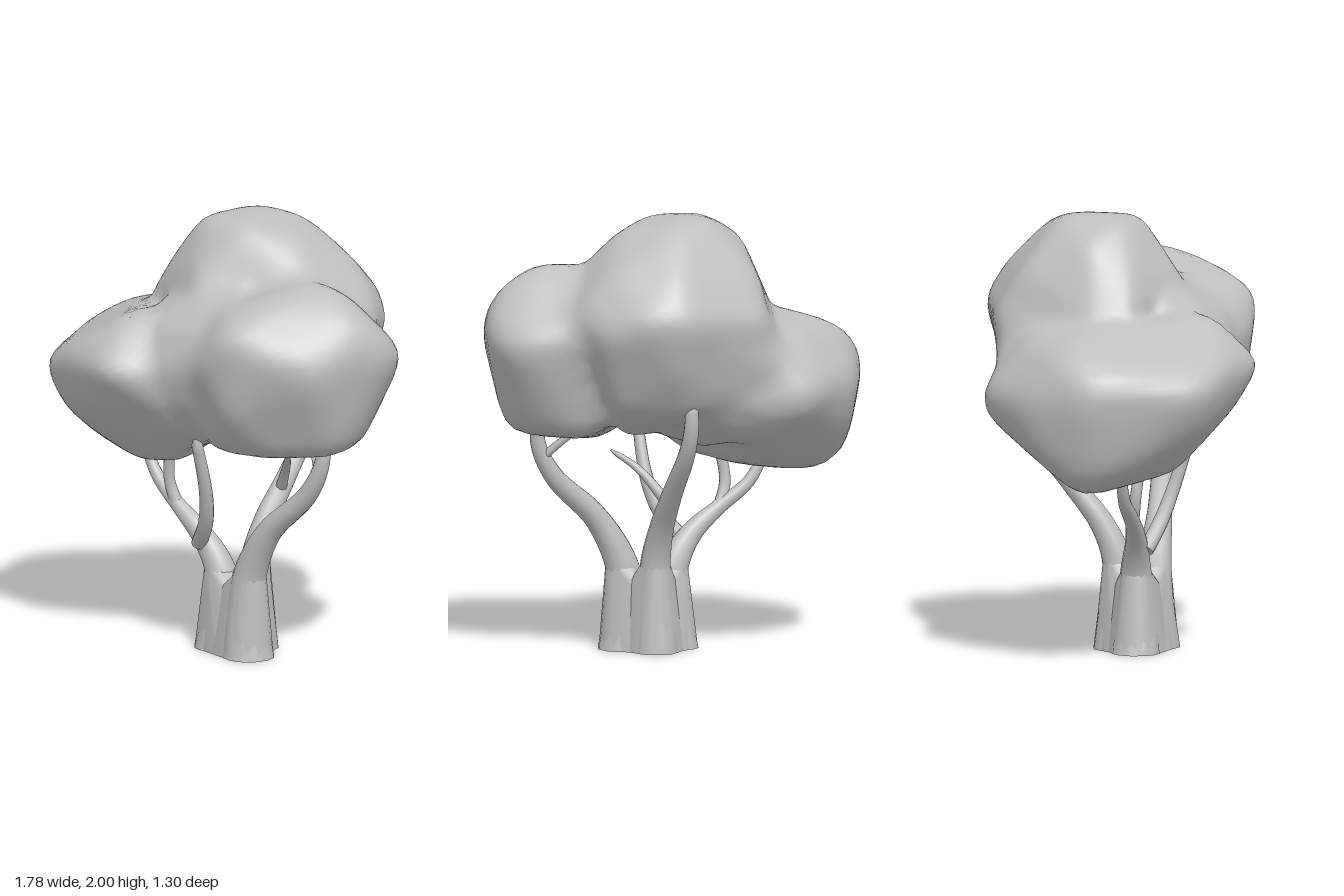
import * as THREE from 'three';
import { mergeVertices, toCreasedNormals } from 'three/addons/utils/BufferGeometryUtils.js';
import { ConvexGeometry } from 'three/addons/geometries/ConvexGeometry.js';

const clay = new THREE.MeshStandardMaterial({ color: 0xbfbfbf });
clay.name = 'clay grey';

// Shared vertices give smooth normals
function smooth(geometry) {
  geometry.deleteAttribute('uv');
  geometry.deleteAttribute('normal');
  const g = mergeVertices(geometry, 1e-4);
  g.computeVertexNormals();
  return g;
}

// Tapered limb through points [x, y, z, radius], closed at both ends
function limb(name, pts) {
  const curve = new THREE.CatmullRomCurve3(pts.map(p => new THREE.Vector3(p[0], p[1], p[2])));
  const n = (pts.length - 1) * 5, sides = 12;
  const g = new THREE.TubeGeometry(curve, n, 1, sides);
  const pos = g.attributes.position, v = new THREE.Vector3();
  for (let i = 0; i <= n; i++) {
    const u = i / n, c = curve.getPointAt(u);
    const f = curve.getUtoTmapping(u) * (pts.length - 1);
    const k = Math.min(Math.floor(f), pts.length - 2);
    const r = i === n ? 0.004 : THREE.MathUtils.lerp(pts[k][3], pts[k + 1][3], f - k);
    for (let j = 0; j <= sides; j++) {
      const id = i * (sides + 1) + j;
      v.fromBufferAttribute(pos, id).sub(c).multiplyScalar(r).add(c);
      if (i === 0 && pts[0][1] === 0) v.y = 0;
      pos.setXYZ(id, v.x, v.y, v.z);
    }
  }
  const group = new THREE.Group();
  group.name = name;
  group.add(new THREE.Mesh(smooth(g), clay));
  // Flat cut at the start of the limb
  const cap = new THREE.Mesh(new THREE.CircleGeometry(pts[0][3], sides), clay);
  const dir = pts[0][1] === 0 ? new THREE.Vector3(0, 1, 0) : curve.getTangentAt(0);
  cap.quaternion.setFromUnitVectors(new THREE.Vector3(0, 0, 1), dir.negate());
  cap.position.set(pts[0][0], pts[0][1], pts[0][2]);
  group.add(cap);
  return group;
}

// Wood that fuses the feet of two limbs, dipping to a fork halfway between them
function web(a, b, width) {
  const group = new THREE.Group();
  group.name = 'trunkWeb';
  const middle = [0, 1, 2].map(i => a[i].map((v, k) => (v + b[i][k]) / 2))
    .map(([x, y, z, r]) => [x, Math.min(y, .29), z, r * width]);
  for (const side of [a, b]) {
    const foot = side.slice(0, 3).map(([x, y, z, r]) => [x, y, z, r * .95]);
    const pts = [];
    for (const [x, y, z, r] of [...foot, ...middle]) {
      for (let k = 0; k < 16; k++) {
        const w = k * Math.PI / 8;
        pts.push(new THREE.Vector3(x + r * Math.cos(w), y, z + r * Math.sin(w)));
      }
    }
    group.add(new THREE.Mesh(toCreasedNormals(new ConvexGeometry(pts), 0.7), clay));
  }
  return group;
}

// Key points of the three foliage masses
const crownTop = [
  [0, 2, -.17], [-.15, 1.98, .04], [.1, 1.98, .06], [.1, 1.97, -.32], [-.1, 1.99, -.27], [-.29, 1.9, -.1],
  [.29, 1.93, -.1], [0, 1.74, .25], [-.29, 1.77, .1], [.1, 1.91, -.41], [.15, 1.75, -.57], [-.46, 1.55, -.05],
  [-.41, 1.58, .12], [-.28, 1.55, -.54], [.14, 1.58, -.67], [.32, 1.58, -.63], [.48, 1.5, -.51], [.57, 1.6, -.34],
  [.5, 1.7, 0], [.05, 1.55, .28], [-.27, 1.75, -.42], [.4, 1.78, -.38], [.15, 1.32, -.59], [.1, 1.14, -.49],
  [.4, 1.15, -.37], [-.2, 1.2, -.47], [0, 1.03, -.2], [.3, 1, -.2]];
const crownLeft = [
  [.65, 1.79, 0], [.5, 1.75, .25], [.4, 1.76, 0], [.82, 1.67, .05], [.91, 1.5, -.12], [.82, 1.45, -.27],
  [.55, 1.5, -.36], [.83, 1.5, .2], [.79, 1.4, .29], [.66, 1.5, .42], [.42, 1.6, .53], [.28, 1.45, .52],
  [.45, 1.67, .43], [.42, 1.2, .48], [.75, 1.01, .1], [.71, 1.04, -.1], [.5, 1, .3], [.2, 1, .35], [.3, .98, 0],
  [.5, 1.02, -.25], [.08, 1.3, .41], [.2, 1.65, .3], [-.1, 1.35, -.05]];
const crownRight = [
  [-.71, .79, -.05], [-.8, .87, .03], [-.78, .9, -.14], [-.86, 1.1, .05], [-.91, 1.26, 0], [-.89, 1.36, .08],
  [-.81, 1.45, -.1], [-.6, 1.52, -.1], [-.45, 1.55, .05], [-.2, 1.59, .44], [-.2, 1.37, .67], [-.08, 1.35, .62],
  [-.37, 1.3, .57], [-.52, 1.4, .56], [-.71, 1.3, .51], [-.25, 1.18, .57], [-.25, 1, .41], [-.3, .86, .28],
  [-.1, .88, .2], [-.5, .87, .2], [-.25, .85, 0], [-.3, .86, -.2], [-.3, .95, -.36], [-.75, 1, -.27],
  [-.72, .95, .22], [-.78, 1.25, -.32], [-.55, 1.25, -.54], [-.42, 1.22, -.58], [-.45, 1.13, -.55],
  [-.2, 1.15, -.5], [-.45, 1.5, -.36], [-.6, 1.1, .48], [0, 1, .3], [0, 1.2, .48], [.1, 1.3, -.05]];
// Foliage filling the valleys at the front and the back
const frontFill = [
  [-.15, 1.3, .54], [-.13, 1.54, .4], [-.25, 1.62, .22], [0, 1.7, .24], [.25, 1.73, .17], [.32, 1.56, .43],
  [.3, 1.4, .44], [.28, 1.15, .37], [.2, 1.02, .28], [.05, .98, .2], [-.1, .94, .22], [-.1, 1.08, .4],
  [.04, 1.35, .43], [.1, 1.3, -.1], [-.1, 1.3, -.1]];
const backFill = [
  [-.42, 1.3, -.52], [-.4, 1.47, -.38], [-.28, 1.57, -.47], [-.05, 1.45, -.55], [.05, 1.2, -.48],
  [-.1, 1.07, -.42], [-.3, 1, -.4], [-.1, .93, -.2], [.12, 1, -.2], [-.5, 1.45, -.2], [-.4, 1.56, -.05],
  [.1, 1.3, .1], [-.1, 1.3, .1]];

const heart = new THREE.Vector3(0, 1.35, 0);

// Face planes of a foliage mass, relative to the heart of the crown
function planes(points) {
  const g = new ConvexGeometry(points.map(p => new THREE.Vector3(...p).sub(heart)));
  const out = [], pos = g.attributes.position, nor = g.attributes.normal;
  for (let i = 0; i < pos.count; i += 3) {
    const n = new THREE.Vector3().fromBufferAttribute(nor, i);
    out.push({ n, d: n.dot(new THREE.Vector3().fromBufferAttribute(pos, i)) });
  }
  return out;
}

// One continuous skin around the masses, softened where they meet
function crown() {
  const masses = [crownTop, crownLeft, crownRight, frontFill, backFill].map(planes);
  const reach = dir => {
    let sum = 0;
    for (const mass of masses) {
      let t = 2;
      for (const { n, d } of mass) {
        const k = n.dot(dir);
        if (k > 1e-6) t = Math.min(t, Math.max(0, d) / k);
      }
      sum += t ** 24;
    }
    return sum ** (1 / 24);
  };
  const g = smooth(new THREE.IcosahedronGeometry(1, 20));
  const pos = g.attributes.position;
  const dir = new THREE.Vector3(), a = new THREE.Vector3(), b = new THREE.Vector3(), s = new THREE.Vector3();
  for (let i = 0; i < pos.count; i++) {
    dir.fromBufferAttribute(pos, i).normalize();
    a.set(dir.y, dir.z, -dir.x).cross(dir).normalize();
    b.crossVectors(dir, a);
    let r = reach(dir) * 2;
    for (let k = 0; k < 12; k++) {
      const w = k * Math.PI / 6, spread = k % 2 ? 0.06 : 0.12;
      s.copy(dir).addScaledVector(a, spread * Math.cos(w)).addScaledVector(b, spread * Math.sin(w)).normalize();
      r += reach(s);
    }
    dir.multiplyScalar(r / 14 * 1.008).add(heart);
    pos.setXYZ(i, dir.x, dir.y, dir.z);
  }
  g.computeVertexNormals();
  const mesh = new THREE.Mesh(g, clay);
  mesh.name = 'crown';
  return mesh;
}

export function createModel() {
  const tree = new THREE.Group();
  tree.name = 'tree';
  tree.add(crown());

  // Three main limbs, fused at the foot into one trunk
  const left = [[.19, 0, .1, .12], [.18, .2, .1, .092], [.2, .38, .1, .078], [.32, .6, .1, .057],
    [.53, .8, .07, .045], [.61, .95, .06, .036], [.62, 1.1, .05, .03]];
  const back = [[.09, 0, -.06, .1], [.09, .2, -.05, .085], [.09, .4, -.05, .07], [.085, .57, -.12, .056],
    [.08, .75, -.26, .046], [.065, .95, -.42, .038], [.06, 1.07, -.47, .034], [.06, 1.22, -.47, .028]];
  const right = [[-.04, 0, .06, .11], [-.005, .2, .06, .088], [-.03, .37, .06, .072], [-.12, .51, .08, .052],
    [-.25, .62, .09, .036], [-.4, .74, .08, .029], [-.49, .9, .08, .022]];
  tree.add(limb('leftLimb', left), limb('backLimb', back), limb('rightLimb', right));
  tree.add(web(left, right, .95), web(right, back, .85), web(left, back, .75));

  // Smaller branches and twigs
  tree.add(limb('frontBranch', [[-.1, .48, .12, .036], [-.01, .6, .17, .035], [.04, .75, .22, .031], [.06, 1.04, .31, .024]]));
  tree.add(limb('rightTwig', [[-.26, .62, .09, .03], [-.295, .74, .11, .026], [-.27, .92, .13, .024]]));
  tree.add(limb('backTwig', [[.08, .69, -.22, .028], [.2, .85, -.14, .018], [.3, .93, -.04, .011]]));
  tree.add(limb('leftTwig', [[.6, .89, .06, .022], [.52, .97, .01, .017], [.43, 1.05, -.05, .013]]));
  return tree;
}
